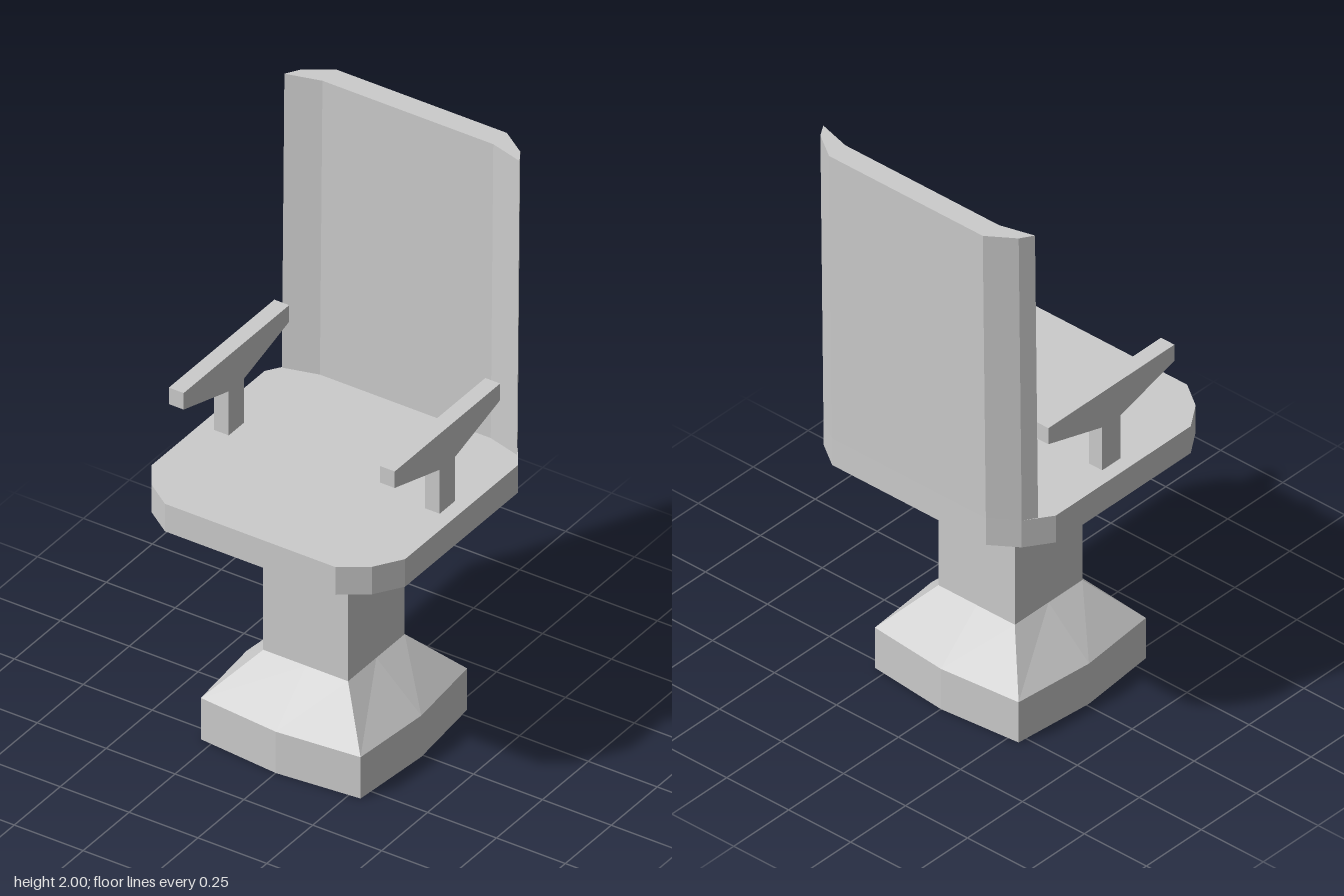
import * as THREE from 'three';

const material = new THREE.MeshStandardMaterial({ color: 0xcccccc, flatShading: true });

// Mirrors the right-hand half of an outline ([x, z], front to back) into a closed ring
const mirrored = (half) => [...half, ...half.map(([x, z]) => [-x, z]).reverse()];

// Square ring whose side midpoints may bulge outward
function squareRing(corner, mid, z0 = 0.01) {
  return [[0, mid], [corner, corner], [mid, 0], [corner, -corner],
    [0, -mid], [-corner, -corner], [-mid, 0], [-corner, corner]].map(([x, z]) => [x, z + z0]);
}

// Closed solid through stacked sections: [y, ring], rings counterclockwise from above
function loft(name, sections) {
  const pos = [];
  const n = sections[0][1].length;
  const put = (s, ...ids) => ids.forEach((i) => pos.push(s[1][i][0], s[0], s[1][i][1]));
  for (let k = 0; k < sections.length - 1; k++) {
    const lo = sections[k], hi = sections[k + 1];
    for (let i = 0; i < n; i++) {
      const j = (i + 1) % n;
      put(lo, i, j); put(hi, j);
      put(lo, i); put(hi, j, i);
    }
  }
  const cap = (s, flip) => {
    const outline = s[1].map(([x, z]) => new THREE.Vector2(x, -z));
    for (const [a, b, c] of THREE.ShapeUtils.triangulateShape(outline, [])) {
      if (flip) put(s, a, c, b); else put(s, a, b, c);
    }
  };
  cap(sections[0], true);
  cap(sections[sections.length - 1], false);
  const geometry = new THREE.BufferGeometry();
  geometry.setAttribute('position', new THREE.Float32BufferAttribute(pos, 3));
  geometry.computeVertexNormals();
  const mesh = new THREE.Mesh(geometry, material);
  mesh.name = name;
  return mesh;
}

// T-shaped armrest: side profile extruded across x
function armrest(name, x) {
  const width = 0.054;
  const profile = [[-0.042, 0.93], [0.042, 0.93], [0.042, 1.1], [0.287, 1.17],
    [0.287, 1.23], [-0.287, 1.23], [-0.287, 1.17], [-0.042, 1.1]];
  const shape = new THREE.Shape(profile.map(([z, y]) => new THREE.Vector2(z, y)));
  const geometry = new THREE.ExtrudeGeometry(shape, { depth: width, bevelEnabled: false });
  geometry.translate(0, 0, -width / 2).rotateY(-Math.PI / 2);
  const mesh = new THREE.Mesh(geometry, material);
  mesh.name = name;
  mesh.position.set(x, 0, 0.007);
  return mesh;
}

export function createModel() {
  const chair = new THREE.Group();
  chair.name = 'chair';

  // Pedestal: bulged foot, square column, flare under the seat
  chair.add(loft('pedestal', [
    [0, squareRing(0.29, 0.317)],
    [0.15, squareRing(0.29, 0.317)],
    [0.3, squareRing(0.154, 0.154)],
    [0.77, squareRing(0.154, 0.154)],
    [0.84, squareRing(0.31, 0.31)],
  ]));

  // Seat slab with clipped corners
  const seatRing = mirrored([[0.31, 0.465], [0.4, 0.402], [0.46, 0.312],
    [0.46, -0.302], [0.4, -0.39], [0.31, -0.452]]);
  chair.add(loft('seat', [[0.84, seatRing], [0.94, seatRing]]));

  // Backrest: wraps the rear of the seat and leans back slightly
  const backRing = (lean) => mirrored([[0.31, -0.378], [0.427, -0.346],
    [0.4, -0.39], [0.31, -0.452]]).map(([x, z]) => [x, z - lean]);
  chair.add(loft('backrest', [[0.94, backRing(0)], [2, backRing(0.014)]]));

  chair.add(armrest('leftArmrest', 0.383), armrest('rightArmrest', -0.383));
  return chair;
}
